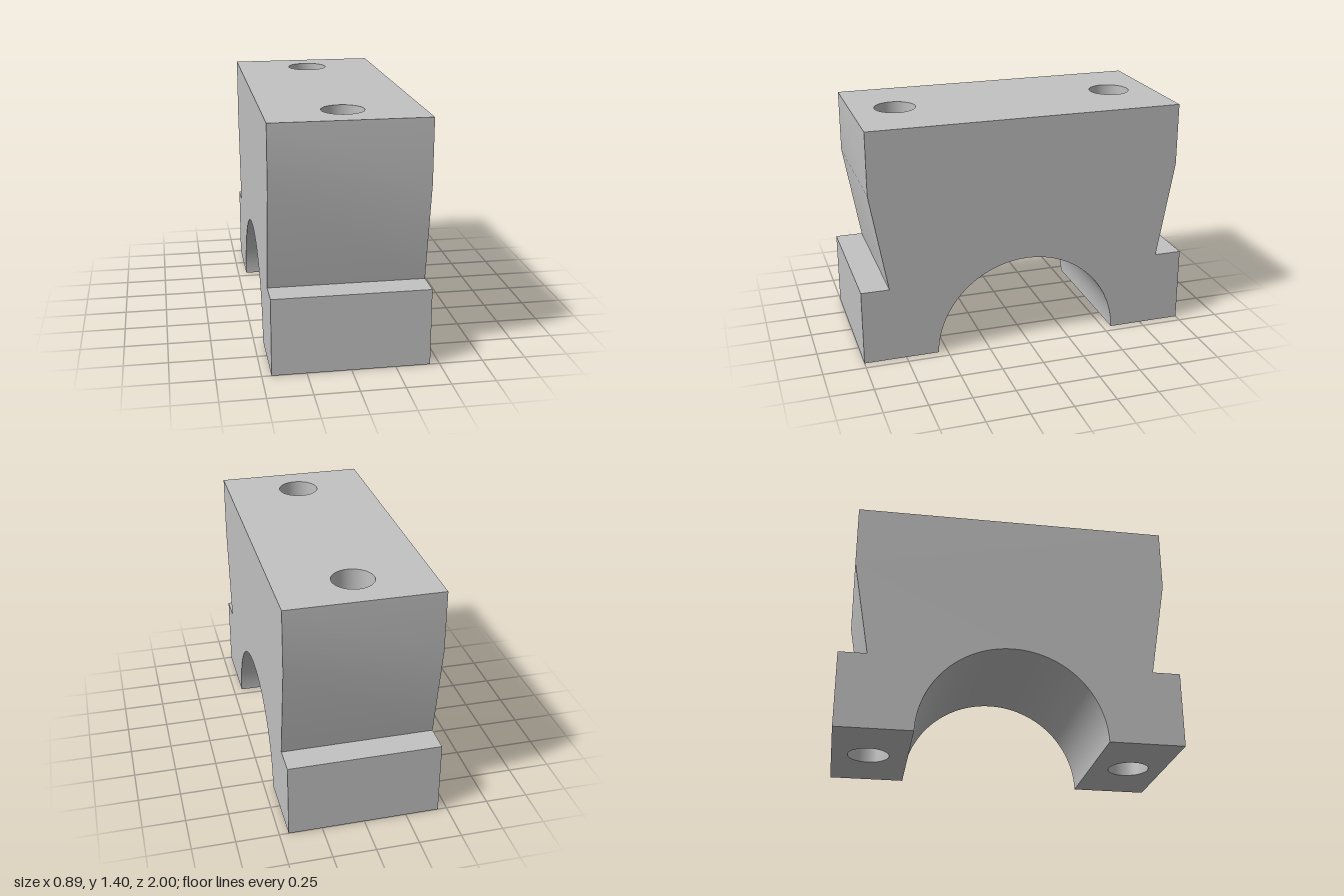
import * as THREE from 'three';
import { toCreasedNormals } from 'three/addons/utils/BufferGeometryUtils.js';

const HALF_W = 0.446, TOP = 1.4, HOLE_R = 0.121;
const ARCH_R = 0.554, ARCH_Y = -0.014;

// Strip of walls spanning the width; points run counter-clockwise around the profile
function wallStrip(points) {
  const pos = [];
  for (let i = 0; i < points.length - 1; i++) {
    const a = points[i], b = points[i + 1], w = HALF_W;
    pos.push(a.x, a.y, -w, b.x, b.y, -w, b.x, b.y, w);
    pos.push(a.x, a.y, -w, b.x, b.y, w, a.x, a.y, w);
  }
  const g = new THREE.BufferGeometry();
  g.setAttribute('position', new THREE.Float32BufferAttribute(pos, 3));
  return toCreasedNormals(g, 0.35);
}

// Flat rectangle with round holes along its centre line
function drilledPlate(from, to, holes) {
  const shape = new THREE.Shape([
    new THREE.Vector2(from, -HALF_W), new THREE.Vector2(to, -HALF_W),
    new THREE.Vector2(to, HALF_W), new THREE.Vector2(from, HALF_W),
  ]);
  for (const u of holes) {
    const path = new THREE.Path();
    path.absarc(u, 0, HOLE_R, 0, Math.PI * 2, true);
    shape.holes.push(path);
  }
  return new THREE.ShapeGeometry(shape, 24);
}

export function createModel() {
  const model = new THREE.Group();
  model.name = 'bearingCap';
  const grey = new THREE.MeshStandardMaterial({ color: 0xc2c2c2, side: THREE.DoubleSide });
  grey.name = 'machined grey';

  // Profile is drawn in the local xy plane, then turned to run along z
  const body = new THREE.Group();
  body.name = 'body';
  body.rotation.y = Math.PI / 2;
  model.add(body);
  const add = (name, geometry) => {
    const mesh = new THREE.Mesh(geometry, grey);
    mesh.name = name;
    body.add(mesh);
    return mesh;
  };

  // Foot, ledge, tapered flank and upright shoulder
  const flank = [[1, 0], [1, 0.45], [0.835, 0.45], [0.935, 1.03], [0.935, TOP]]
    .map(([x, y]) => new THREE.Vector2(x, y));
  const mirrored = flank.map(p => new THREE.Vector2(-p.x, p.y)).reverse();

  // Bearing arch, from the negative foot to the positive one
  const start = Math.asin(-ARCH_Y / ARCH_R);
  const arch = [];
  for (let i = 0; i <= 64; i++) {
    const t = Math.PI - start - (Math.PI - 2 * start) * i / 64;
    arch.push(new THREE.Vector2(ARCH_R * Math.cos(t), ARCH_Y + ARCH_R * Math.sin(t)));
  }
  arch[0].y = arch[64].y = 0;

  add('endWall', wallStrip(flank));
  add('endWall', wallStrip(mirrored));
  add('archSurface', wallStrip(arch));

  // Flat side faces
  const profile = new THREE.Shape([...flank, ...mirrored, ...arch]);
  for (const s of [1, -1]) {
    const side = add('sideFace', new THREE.ShapeGeometry(profile));
    if (s < 0) side.rotation.y = Math.PI;
    side.position.z = s * HALF_W;
  }

  // Blind hole: bore wall and floor
  const addHole = (name, u, mouth, floor) => {
    const depth = Math.abs(mouth - floor);
    const bore = add(name + 'Bore', new THREE.CylinderGeometry(HOLE_R, HOLE_R, depth, 48, 1, true));
    bore.position.set(u, (mouth + floor) / 2, 0);
    const end = add(name + 'Floor', new THREE.CircleGeometry(HOLE_R, 48));
    end.rotation.x = mouth > floor ? -Math.PI / 2 : Math.PI / 2;
    end.position.set(u, floor, 0);
  };

  // Top face and undersides of the feet, with their holes
  const top = add('topFace', drilledPlate(-0.935, 0.935, [-0.673, 0.673]));
  top.rotation.x = -Math.PI / 2;
  top.position.y = TOP;
  for (const s of [1, -1]) {
    addHole('topHole', s * 0.673, TOP, TOP - 0.4);
    const inner = arch[64].x;
    const foot = add('footUnderside', drilledPlate(s > 0 ? inner : -1, s > 0 ? 1 : -inner, [s * 0.785]));
    foot.rotation.x = Math.PI / 2;
    addHole('footHole', s * 0.785, 0, 0.3);
  }
  return model;
}
